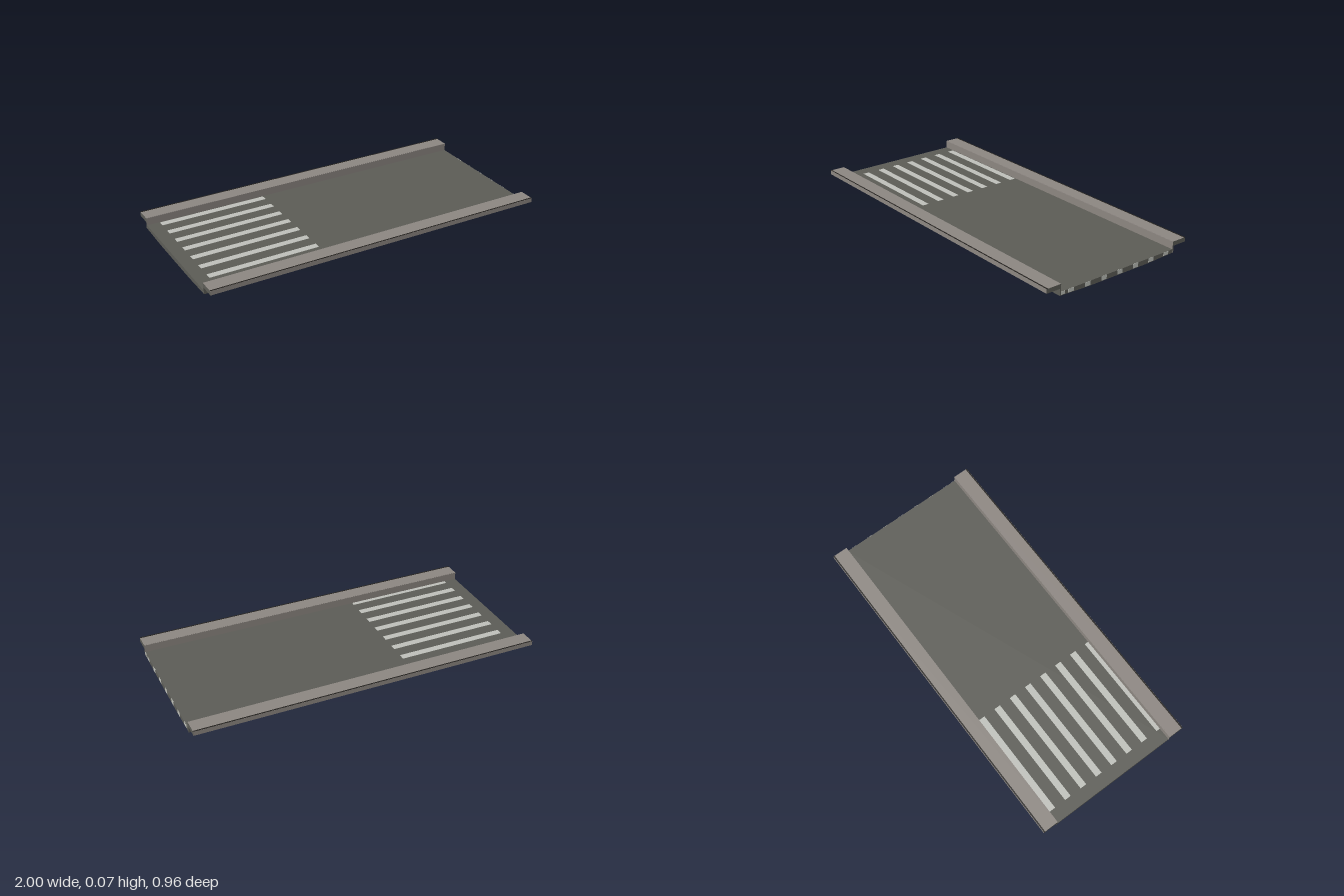
import * as THREE from 'three';

function makeMaterial(name, color) {
  const m = new THREE.MeshStandardMaterial({ color });
  m.name = name;
  return m;
}

export function createModel() {
  const asphalt = makeMaterial('asphalt', 0x5b5b55);
  const concrete = makeMaterial('concrete', 0x8b8580);
  const paint = makeMaterial('paint', 0xbcbeb8);
  const edge = makeMaterial('dark edge', 0x24221f);

  const group = new THREE.Group();
  group.name = 'roadSection';

  // Box given by its limits on each axis
  function box(name, material, [x0, x1], [y0, y1], [z0, z1]) {
    const mesh = new THREE.Mesh(new THREE.BoxGeometry(x1 - x0, y1 - y0, z1 - z0), material);
    mesh.position.set((x0 + x1) / 2, (y0 + y1) / 2, (z0 + z1) / 2);
    mesh.name = name;
    group.add(mesh);
    return mesh;
  }

  // Road deck: flat top, slightly bowed underside, extruded along x
  const top = 0.028;
  const half = 0.388;
  const underside = z => 0.001 + 0.007 * Math.max(0, (Math.abs(z) - 0.2) / (half - 0.2));
  const profile = new THREE.Shape([
    [-half, top], [-half, underside(half)], [-0.2, 0.001],
    [0.2, 0.001], [half, underside(half)], [half, top],
  ].map(p => new THREE.Vector2(...p)));
  const deckGeometry = new THREE.ExtrudeGeometry(profile, { depth: 1.998, bevelEnabled: false });
  deckGeometry.rotateY(Math.PI / 2).translate(-0.999, 0, 0);
  const deck = new THREE.Mesh(deckGeometry, asphalt);
  deck.name = 'roadDeck';
  group.add(deck);

  // Raised pavements on both sides, each carried by a thin upright wall
  for (const side of [-1, 1]) {
    const span = (a, b) => [a * side, b * side].sort((p, q) => p - q);
    // Face order: +x, -x, top, bottom, +z, -z
    box('pavement', [asphalt, asphalt, concrete, asphalt, concrete, concrete],
      [-1, 1], [0.047, 0.072], span(0.39, 0.479));
    box('kerbWall', [asphalt, asphalt, concrete, asphalt,
      side > 0 ? asphalt : concrete, side > 0 ? concrete : asphalt],
    [-1, 1], [0.008, 0.0715], span(0.387, 0.394));
    box('pavementEdge', edge, [-1, 1], [0.07, 0.0728], span(0.471, 0.4785));
  }

  // Crossing stripes, repeated on the underside
  for (let i = 0; i < 8; i++) {
    const z = -0.363 + i * 0.1065;
    const range = [z - 0.019, Math.min(z + 0.019, 0.387)];
    box('crossingStripe', paint, [-0.925, -0.288], [top - 0.002, top + 0.001], range);
    const y = underside(z);
    box('undersideStripe', paint, [-0.925, -0.288], [y - 0.001, y + 0.002], range);
  }

  // Painted blocks on the +x end of the deck
  for (let i = 0; i < 7; i++) {
    const z = 0.322 - i * 0.11;
    box('endMark', paint, [0.997, 1], [underside(z) + 0.003, top], [z - 0.018, z + 0.018]);
  }
  box('endMark', paint, [0.997, 1], [0.011, top], [0.36, 0.386]);

  // Painted line on the front wall and dashes on the back wall
  box('frontWallLine', paint, [-0.96, -0.2], [0.03, 0.042], [0.393, 0.395]);
  for (let i = 0; i < 6; i++) {
    const x = 0.2 + i * 0.13;
    box('backWallDash', paint, [x, x + 0.075], [0.014, 0.03], [-0.395, -0.393]);
  }

  return group;
}
